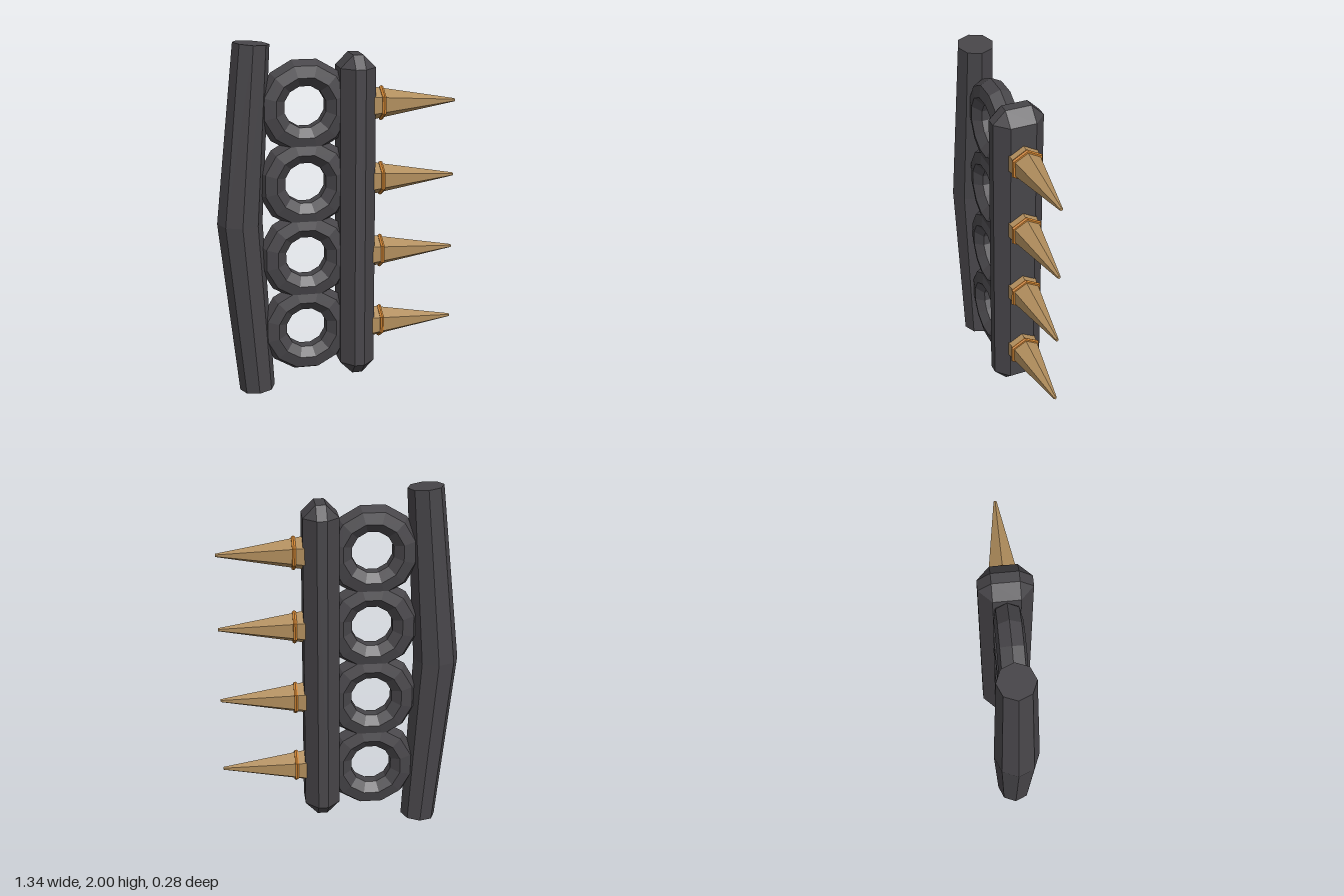
import * as THREE from 'three';
import { ConvexGeometry } from 'three/addons/geometries/ConvexGeometry.js';

const paint = (color) => {
  const m = new THREE.MeshStandardMaterial({ flatShading: true });
  m.color.set(color);
  return m;
};

// Eight-sided bar, bent at the middle and thinner towards its ends
function gripGeometry() {
  const g = new THREE.CylinderGeometry(1, 1, 2, 8, 2);
  const p = g.attributes.position;
  for (let i = 0; i < p.count; i++) {
    const t = p.getY(i);
    const r = 0.126 - 0.026 * Math.abs(t);
    const x = p.getX(i) * r;
    p.setXYZ(i, -0.545 + 0.08 * Math.abs(t) + x, 1 + t * 0.991 - 0.08 * t * x, p.getZ(i) * r);
  }
  return g;
}

// Box with every edge and corner cut off by b
function chamferedBox(hx, hy, hz, b) {
  const pts = [];
  for (const x of [-1, 1]) for (const y of [-1, 1]) for (const z of [-1, 1]) {
    for (const [cx, cy, cz] of [[0, b, b], [b, 0, b], [b, b, 0]]) {
      pts.push(new THREE.Vector3(x * (hx - cx), y * (hy - cy), z * (hz - cz)));
    }
  }
  return new ConvexGeometry(pts);
}

export function createModel() {
  const model = new THREE.Group();
  const metal = paint(0x474549);
  const bronze = paint(0xb08d5c);
  const copper = paint(0xcc8232);

  const add = (parent, name, geometry, material, x = 0, y = 0, z = 0) => {
    const mesh = new THREE.Mesh(geometry, material);
    mesh.name = name;
    mesh.position.set(x, y, z);
    parent.add(mesh);
    return mesh;
  };

  add(model, 'palmGrip', gripGeometry(), metal);
  add(model, 'strikeBar', chamferedBox(0.098, 0.92, 0.142, 0.07), metal, 0.105, 1, 0);

  // Finger ring, with flat sides facing up, down, left and right
  const ring = new THREE.TorusGeometry(0.187, 0.077, 7, 12).rotateZ(Math.PI / 12);

  // Six-sided spike pointing to +x, a corner up
  const spike = new THREE.CylinderGeometry(0.009, 0.098, 0.5, 6)
    .rotateY(Math.PI / 6).rotateZ(-Math.PI / 2);
  const collar = new THREE.TorusGeometry(0.086, 0.012, 6, 6)
    .rotateZ(Math.PI / 6).rotateY(Math.PI / 2);

  for (let i = 0; i < 4; i++) {
    const y = 0.363 + i * 0.426;
    add(model, 'fingerRing' + (i + 1), ring, metal, -0.18, y, 0);
    const group = new THREE.Group();
    group.name = 'spike' + (i + 1);
    group.position.set(0, y, 0);
    add(group, 'spikeBody', spike, bronze, 0.42);
    add(group, 'spikeCollar', collar, copper, 0.25);
    model.add(group);
  }
  return model;
}
